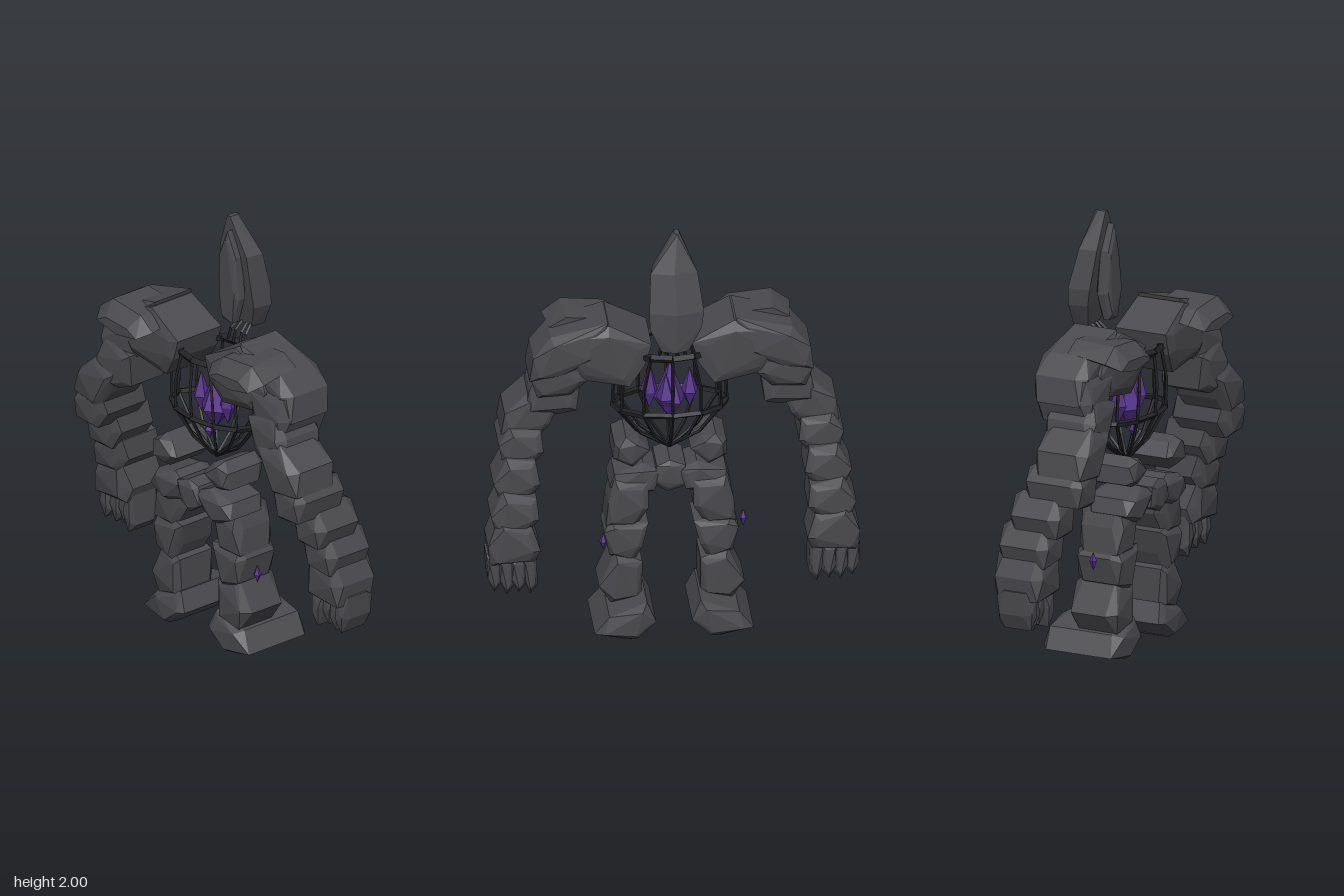
import * as THREE from 'three';
import { ConvexGeometry } from 'three/addons/geometries/ConvexGeometry.js';

const mat = (name, color) => {
  const m = new THREE.MeshStandardMaterial({ color });
  m.name = name;
  return m;
};

export function createModel() {
  const stone = mat('dark stone', 0x4a494d);
  const iron = mat('black iron', 0x222225);
  const crystal = mat('purple crystal', 0x54308a);
  const model = new THREE.Group();

  const add = (parent, name, geometry, material) => {
    const mesh = new THREE.Mesh(geometry, material);
    mesh.name = name;
    parent.add(mesh);
    return mesh;
  };
  const group = (name) => {
    const g = new THREE.Group();
    g.name = name;
    model.add(g);
    return g;
  };

  // Boulder: an outline in x, y given depth in z, with unevenly chipped ends
  const rock = (parent, name, outline, back, front, side = 1, chamfer = 0.03, inset = 0.72) => {
    const cx = outline.reduce((a, p) => a + p[0], 0) / outline.length;
    const cy = outline.reduce((a, p) => a + p[1], 0) / outline.length;
    const pts = [];
    outline.forEach(([x, y], i) => {
      const ix = cx + (x - cx) * inset, iy = cy + (y - cy) * inset;
      const chipFront = chamfer * (0.6 + (i % 3) * 0.5), chipBack = chamfer * (0.6 + ((i + 1) % 3) * 0.5);
      const capFront = chamfer * 0.5 * (i % 2), capBack = chamfer * 0.5 * ((i + 1) % 2);
      pts.push(new THREE.Vector3(side * x, y, back + chipBack), new THREE.Vector3(side * x, y, front - chipFront));
      pts.push(new THREE.Vector3(side * ix, iy, back + capBack), new THREE.Vector3(side * ix, iy, front - capFront));
    });
    return add(parent, name, new ConvexGeometry(pts), stone);
  };

  // Square bar between two points
  const bar = (parent, name, a, b, r = 0.008) => {
    const d = b.clone().sub(a);
    const mesh = add(parent, name, new THREE.CylinderGeometry(r, r, d.length(), 4).toNonIndexed(), iron);
    mesh.geometry.computeVertexNormals();
    mesh.position.copy(a).addScaledVector(d, 0.5);
    mesh.quaternion.setFromUnitVectors(new THREE.Vector3(0, 1, 0), d.normalize());
  };

  // Pointed crystal, widest at yMid
  const gem = (parent, name, x, z, y0, yMid, y1, r) => {
    const pts = [new THREE.Vector3(x, y0, z), new THREE.Vector3(x, y1, z)];
    for (let i = 0; i < 5; i++) {
      const a = i * Math.PI * 0.4 + Math.PI / 2;
      pts.push(new THREE.Vector3(x + r * Math.cos(a), yMid, z + r * Math.sin(a)));
    }
    add(parent, name, new ConvexGeometry(pts), crystal);
  };

  const armRocks = [
    ['upperArm', [[0.38, 1.4], [0.6, 1.38], [0.63, 1.28], [0.6, 1.18], [0.45, 1.18], [0.38, 1.26]], -0.12, 0.16],
    ['lowerBicep', [[0.4, 1.25], [0.57, 1.31], [0.63, 1.2], [0.65, 1.08], [0.49, 1.06], [0.42, 1.09]], -0.07, 0.18],
    ['elbow', [[0.49, 1.13], [0.62, 1.18], [0.74, 1.08], [0.755, 0.97], [0.6, 0.93], [0.54, 1.02]], -0.06, 0.2],
    ['forearm', [[0.58, 1.0], [0.72, 1.02], [0.77, 0.94], [0.75, 0.84], [0.62, 0.82], [0.57, 0.9]], -0.1, 0.19],
    ['midForearm', [[0.61, 0.88], [0.74, 0.89], [0.8, 0.78], [0.77, 0.69], [0.64, 0.68], [0.59, 0.77]], -0.16, 0.09],
    ['wrist', [[0.61, 0.72], [0.76, 0.75], [0.815, 0.64], [0.79, 0.55], [0.65, 0.55], [0.6, 0.62]], -0.21, 0.04],
    ['palm', [[0.63, 0.58], [0.78, 0.63], [0.83, 0.5], [0.82, 0.4], [0.62, 0.4], [0.595, 0.47]], -0.225, 0.02],
  ];
  const legRocks = [
    ['hip', [[0.09, 0.86], [0.14, 0.92], [0.2, 0.94], [0.25, 0.9], [0.255, 0.82], [0.17, 0.79]], -0.07, 0.17],
    ['pelvisWing', [[0.04, 0.75], [0.12, 0.785], [0.25, 0.75], [0.27, 0.68], [0.17, 0.63], [0.07, 0.66]], -0.06, 0.17],
    ['thigh', [[0.1, 0.71], [0.25, 0.73], [0.28, 0.62], [0.29, 0.5], [0.16, 0.48], [0.1, 0.59]], -0.09, 0.13],
    ['knee', [[0.1, 0.51], [0.27, 0.53], [0.3, 0.48], [0.275, 0.36], [0.17, 0.31], [0.13, 0.4]], -0.1, 0.13],
    ['shin', [[0.13, 0.33], [0.25, 0.38], [0.325, 0.22], [0.27, 0.13], [0.13, 0.14]], -0.12, 0.12],
    ['foot', [[0.08, 0.09], [0.12, 0.18], [0.29, 0.13], [0.355, 0.04], [0.2, 0], [0.16, 0.02]], -0.245, 0.135],
  ];

  for (const s of [1, -1]) {
    const label = s > 0 ? 'left' : 'right';

    // Shoulder: inner block, outer block and forward pauldron
    const shoulder = group(label + 'Shoulder');
    rock(shoulder, 'innerShoulder', [[0.09, 1.43], [0.28, 1.53], [0.44, 1.48], [0.5, 1.38], [0.42, 1.27], [0.19, 1.23], [0.12, 1.33]], -0.13, 0.16, s, 0.02);
    rock(shoulder, 'outerShoulder', [[0.285, 1.545], [0.54, 1.48], [0.62, 1.39], [0.635, 1.27], [0.5, 1.27], [0.33, 1.38]], -0.135, 0.13, s);

    // The pauldron is a wedge that droops toward its front edge
    const plate = [];
    for (const [z, top, low, k] of [[0, 1.53, 1.45, 0.9], [0.2, 1.525, 1.41, 1], [0.262, 1.46, 1.4, 0.75]]) {
      for (const [x, t] of [[0.2, 0.35], [0.28, 0.85], [0.47, 1], [0.555, 0.45], [0.38, 0]])
        plate.push(new THREE.Vector3(s * (0.38 + (x - 0.38) * k), low + (top - low) * t, z));
    }
    add(shoulder, 'pauldron', new ConvexGeometry(plate), stone);

    // Arm of stacked stones, ending in four clawed fingers
    const arm = group(label + 'Arm');
    for (const [name, outline, back, front] of armRocks) rock(arm, name, outline, back, front, s);
    for (let i = 0; i < 4; i++) {
      const x = 0.63 + i * 0.053, drop = [0.24, 0.26, 0.25, 0.26][i];
      const z = [-0.2, -0.22, -0.215, -0.2][i];
      rock(arm, 'finger', [[x - 0.02, 0.44], [x + 0.045, 0.44], [x + 0.04, 0.33], [x + 0.01, drop], [x - 0.025, drop + 0.04]],
        z, z + 0.175, s, 0.025, 0.65);
    }

    // Leg
    const leg = group(label + 'Leg');
    for (const [name, outline, back, front] of legRocks) rock(leg, name, outline, back, front, s);
  }
  rock(model, 'pelvis', [[-0.07, 0.77], [0, 0.795], [0.06, 0.775], [0.08, 0.69], [0.01, 0.64], [-0.06, 0.67]], -0.04, 0.18, 1, 0.015);

  // Head: tall pointed hood with a spine behind and a narrow face plate in front
  const head = group('head');
  const hood = [];
  for (const [y, x, w, back, front] of [
    [2.0, -0.02, 0.012, -0.14, -0.09], [1.83, -0.002, 0.105, -0.205, -0.1], [1.65, -0.01, 0.122, -0.25, -0.125],
    [1.57, -0.005, 0.115, -0.25, -0.14], [1.46, -0.002, 0.06, -0.25, -0.165]]) {
    hood.push(new THREE.Vector3(x, y, back - 0.005));
    for (const s of [-1, 1]) hood.push(
      new THREE.Vector3(x + s * w, y, back * 0.8 + front * 0.2),
      new THREE.Vector3(x + s * w * 0.85, y, front));
  }
  add(head, 'hood', new ConvexGeometry(hood), stone);
  rock(head, 'facePlate', [[0, 1.94], [0.05, 1.82], [0.065, 1.62], [0.035, 1.5], [-0.035, 1.5], [-0.065, 1.62], [-0.05, 1.82]],
    -0.12, -0.055, 1, 0.015, 0.85);

  // Rib cage: two hoops joined by ribs that meet at a low point
  const cage = group('ribCage');
  const ribs = 12;
  const around = (i, rx, y, rz) => {
    const a = (i / ribs) * Math.PI * 2 + Math.PI / 2;
    return new THREE.Vector3(rx * Math.cos(a), y, rz * Math.sin(a));
  };
  const tip = new THREE.Vector3(0, 0.86, 0);
  for (let i = 0; i < ribs; i++) {
    const low = around(i, 0.255, 1.085, 0.145), mid = around(i, 0.25, 1.22, 0.155), top = around(i, 0.19, 1.37, 0.14);
    const belly = around(i, 0.15, 0.95, 0.08);
    bar(cage, 'lowerRib', tip, belly);
    bar(cage, 'lowerRib', belly, low);
    bar(cage, 'rib', low, mid);
    bar(cage, 'upperRib', mid, top);
    bar(cage, 'waistHoop', low, around(i + 1, 0.255, 1.085, 0.145), 0.014);
    bar(cage, 'collarHoop', top, around(i + 1, 0.19, 1.37, 0.14), 0.018);
  }

  // Neck cords
  for (const x of [-0.05, -0.02, 0.02, 0.05]) {
    const bend = new THREE.Vector3(x, 1.43, -0.13);
    bar(cage, 'neckCord', new THREE.Vector3(x * 1.2, 1.37, -0.12), bend);
    bar(cage, 'neckCord', bend, new THREE.Vector3(x * 0.7, 1.49, -0.19));
  }

  // Crystal heart and loose shards
  const heart = group('crystalHeart');
  gem(heart, 'mainCrystal', 0, 0, 1.0, 1.1, 1.29, 0.075);
  gem(heart, 'sideCrystal', -0.09, 0.01, 1.05, 1.13, 1.25, 0.04);
  gem(heart, 'sideCrystal', 0.09, 0.01, 1.05, 1.14, 1.29, 0.04);
  gem(heart, 'rearCrystal', 0.02, -0.03, 1.04, 1.12, 1.24, 0.045);
  gem(heart, 'smallCrystal', 0, 0.04, 0.96, 1.0, 1.05, 0.025);
  gem(model, 'floatingShard', -0.33, 0.015, 0.43, 0.475, 0.515, 0.018);
  gem(model, 'floatingShard', 0.295, 0.015, 0.345, 0.385, 0.43, 0.018);

  return model;
}
